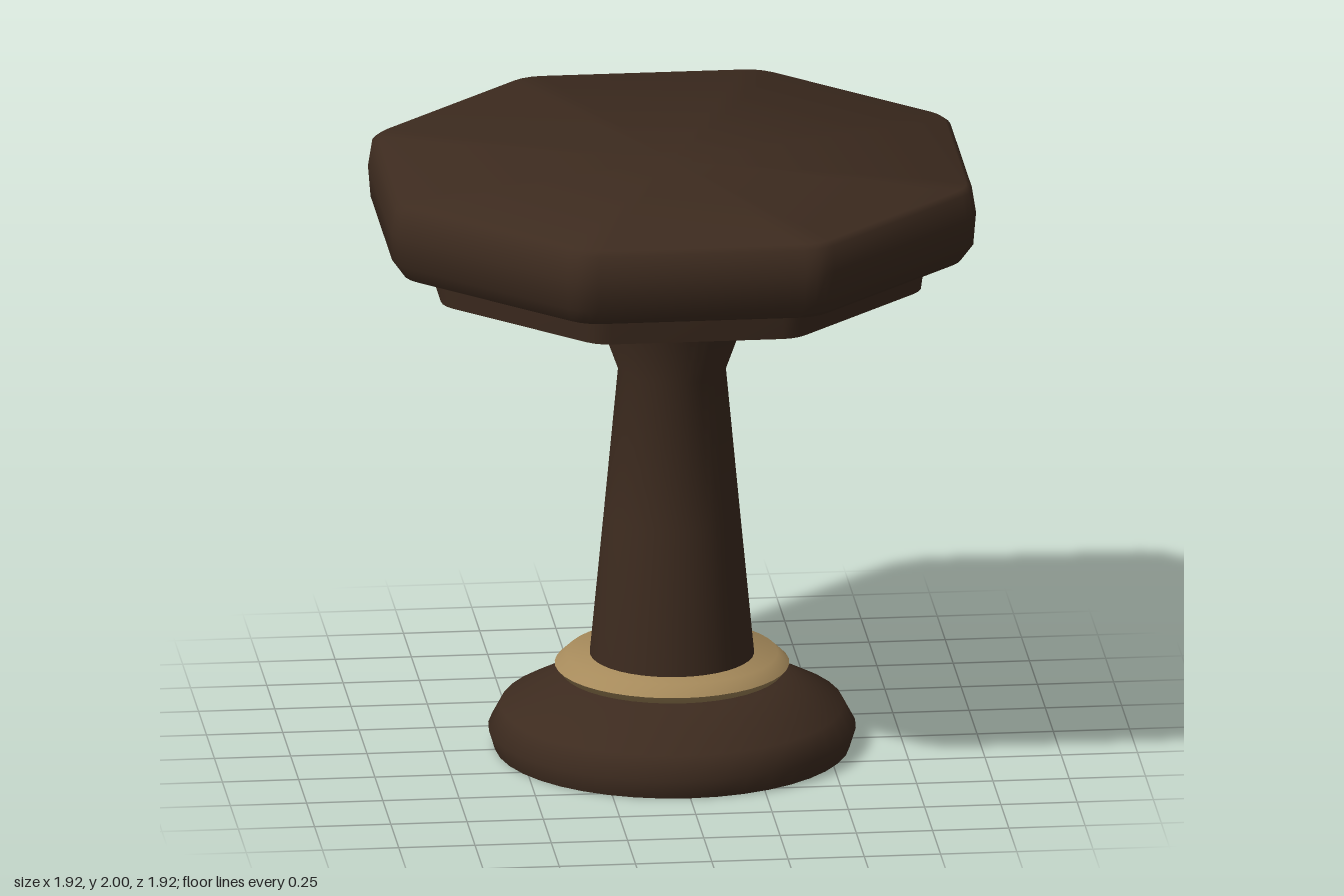
import * as THREE from 'three';
import { toCreasedNormals } from 'three/addons/utils/BufferGeometryUtils.js';

const darkWood = new THREE.MeshStandardMaterial({ color: 0x3d2b1f });
darkWood.name = 'darkWood';
const brass = new THREE.MeshStandardMaterial({ color: 0xa68a5b });
brass.name = 'brass';

// Unit circle outline
function circle(n) {
  return Array.from({ length: n }, (_, i) => {
    const a = (i / n) * Math.PI * 2;
    return [Math.cos(a), Math.sin(a)];
  });
}

// Octagon with flat sides at distance 1 and slightly rounded corners
function octagon(cut) {
  const half = Math.tan(Math.PI / 8);
  const points = [];
  for (let k = 0; k < 8; k++) {
    const a = (k * Math.PI) / 4;
    const b = a + Math.PI / 4;
    const at = (ang, s) => [Math.cos(ang) - s * Math.sin(ang), Math.sin(ang) + s * Math.cos(ang)];
    const p = at(a, half - cut);
    const corner = at(a, half);
    const q = at(b, cut - half);
    for (const t of [0, 0.33, 0.67, 1]) {
      const u = 1 - t;
      points.push([0, 1].map((i) => u * u * p[i] + 2 * u * t * corner[i] + t * t * q[i]));
    }
  }
  return points;
}

// Solid through scaled outlines; profile lists [radius, height] from bottom to top
function loft(profile, outline, crease = 0.9) {
  const n = outline.length;
  const positions = [];
  const indices = [];
  for (const [r, y] of profile) {
    for (const [x, z] of outline) positions.push(x * r, y, -z * r);
  }
  for (let i = 0; i < profile.length - 1; i++) {
    for (let j = 0; j < n; j++) {
      const k = (j + 1) % n;
      const a = i * n + j, b = i * n + k, c = b + n, d = a + n;
      if (profile[i][0] > 0) indices.push(a, b, profile[i + 1][0] > 0 ? c : d);
      if (profile[i + 1][0] > 0) indices.push(a, c, d);
    }
  }
  const geometry = new THREE.BufferGeometry();
  geometry.setAttribute('position', new THREE.Float32BufferAttribute(positions, 3));
  geometry.setIndex(indices);
  return toCreasedNormals(geometry, crease);
}

export function createModel() {
  const table = new THREE.Group();
  table.name = 'pedestalTable';
  const add = (name, geometry, material) => {
    const mesh = new THREE.Mesh(geometry, material);
    mesh.name = name;
    table.add(mesh);
  };
  const round = circle(40);
  const eight = octagon(0.06);

  // Round foot
  add('base', loft([[0, 0], [0.58, 0], [0.6, 0.065], [0.56, 0.14], [0.37, 0.24], [0, 0.24]], round), darkWood);

  // Tapered column flaring out under the top
  add('column', loft([[0, 0.235], [0.255, 0.235], [0.27, 0.26], [0.268, 0.32], [0.222, 0.8],
    [0.176, 1.29], [0.3, 1.635], [0, 1.635]], round), darkWood);

  // Metal collar just above the foot
  add('collar', loft([[0, 0.255], [0.362, 0.255], [0.383, 0.28], [0.345, 0.315], [0, 0.315]], round), brass);

  // Octagonal apron and table top
  add('apron', loft([[0, 1.632], [0.787, 1.632], [0.803, 1.75], [0, 1.75]], eight), darkWood);
  add('tableTop', loft([[0, 1.745], [0.915, 1.745], [0.953, 1.8], [0.961, 1.9], [0.948, 1.985],
    [0.93, 2], [0, 2]], eight), darkWood);

  return table;
}
